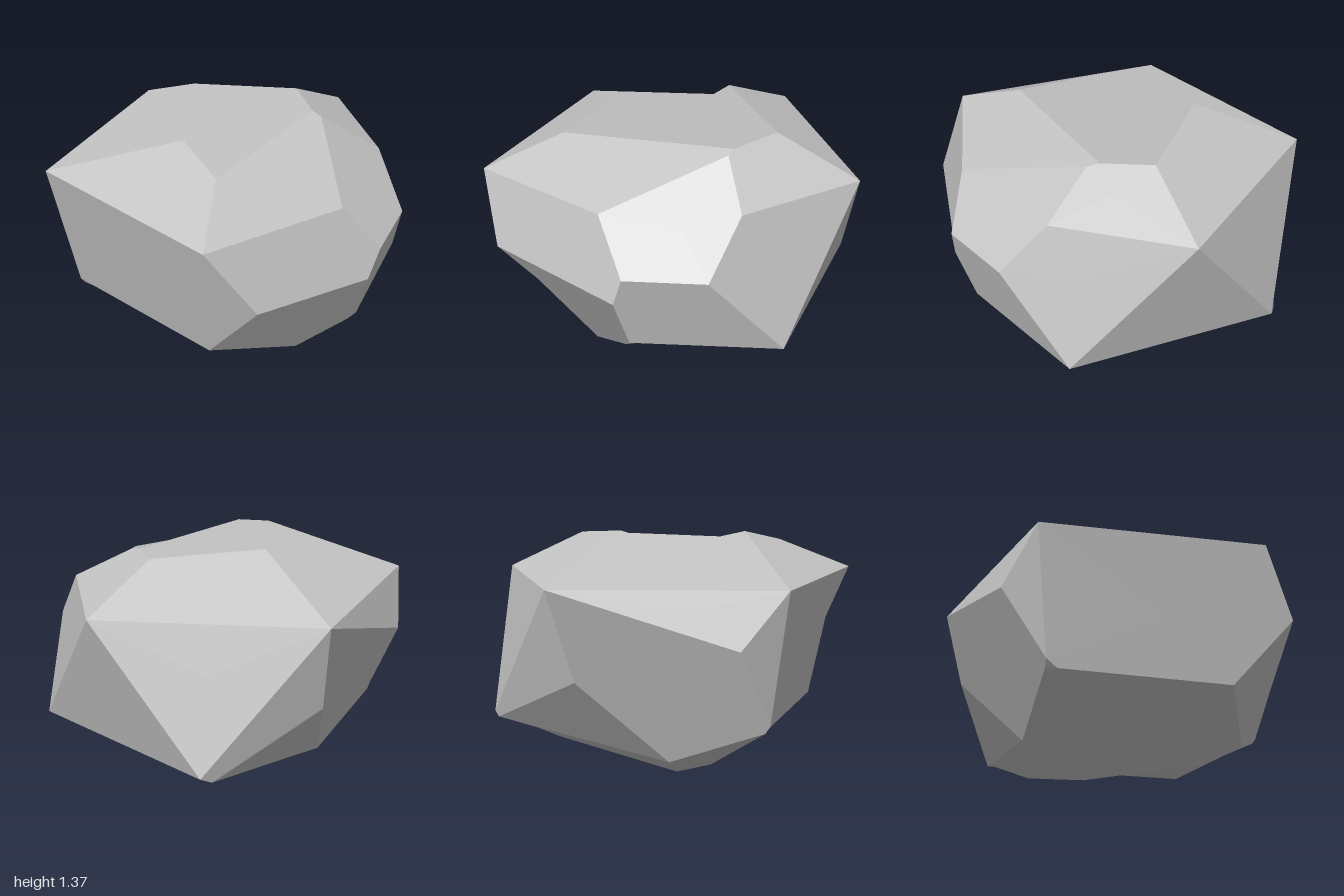
import * as THREE from 'three';

// Corners of the chipped boulder, in rings from top to bottom
const corners = {
  // crown
  t1: [-0.37, 1.365, -0.29], t2: [-0.12, 1.345, 0.37], t3: [0.16, 1.28, 0.58],
  t4: [0.16, 1.32, -0.56], t5: [0.40, 1.29, -0.31], t6: [0.34, 1.3, -0.34],
  // shoulder
  s1: [-0.85, 1.11, 0.57], s2: [0.28, 1.11, 1.0], s3: [0.74, 1.11, 0.32],
  s4: [0.72, 1.12, -0.39], s5: [0.28, 1.11, -1.0], s6: [-0.85, 1.11, -0.63],
  // waist
  w1: [0.92, 0.84, 0.19], w2: [0.92, 0.84, -0.24], w3: [0.88, 0.67, 0.24],
  w4: [0.52, 0.77, 0.9], w5: [-0.93, 0.82, 0.33], w6: [-0.78, 0.63, -0.5],
  // lower ring
  l1: [0.2, 0.365, 0.77], l2: [-0.67, 0.365, 0.48], l3: [-0.74, 0.4, 0.49],
  l4: [-0.73, 0.36, 0.465], l5: [-0.33, 0.37, -1.0], l6: [-0.38, 0.35, -0.97],
  l7: [0.79, 0.38, -0.63], l8: [0.81, 0.39, 0.17], l9: [0.77, 0.35, 0.19],
  // base
  b1: [0.54, 0.225, 0.38], b2: [0.36, 0.12, 0.25], b3: [-0.6, 0.165, -0.03],
  b4: [-0.25, 0.205, -0.66], b5: [-0.1, 0, 0.19], b6: [-0.24, 0, 0],
};

// Facets, each a loop of corners
const facets = [
  // top
  's6 t1 t4 s5', 's1 s6 t1 t4 t6 t3 t2', 's5 s4 t5 t6 t4', 's2 s3 t5 t6 t3', 's1 t2 t3 s2',
  // +x side and front
  's3 w1 w2 s4 t5', 's2 s3 w1 w3 w4', 'w4 w3 l8 l9 b1 l1', 's1 s2 w4 l1 l2 l3', 'w1 w2 l7 l8 w3',
  // back
  's5 s4 w2 l7', 's5 l7 l5', 's6 s5 l5', 's6 l5 l6 w6',
  // -x side
  's6 w6 b3 l4 l3 w5', 's1 w5 l3', 's1 s6 w5', 'w6 l6 b3', 'l2 l4 l3',
  // underside
  'l7 l8 l9 b1 b2', 'l7 b2 b5 b6 b4 l5', 'l1 b1 b2 b5 l4 l2', 'l4 b5 b6 b3', 'l5 l6 b3 b6 b4',
];

// Closes every loop with a fan around its middle and gives it one flat normal
function facetedGeometry() {
  const positions = [];
  const normals = [];
  const core = new THREE.Vector3(0, 0.7, 0);
  for (const facet of facets) {
    let loop = facet.split(' ').map((name) => new THREE.Vector3(...corners[name]));
    const middle = loop.reduce((sum, p) => sum.add(p), new THREE.Vector3())
      .divideScalar(loop.length);
    const normal = new THREE.Vector3();
    loop.forEach((p, i) => {
      const q = loop[(i + 1) % loop.length];
      normal.add(p.clone().sub(middle).cross(q.clone().sub(middle)));
    });
    normal.normalize();
    // Turn loops that run the wrong way so that all faces look outward
    if (normal.dot(middle.clone().sub(core)) < 0) {
      normal.negate();
      loop = loop.reverse();
    }
    loop.forEach((p, i) => {
      for (const v of [middle, p, loop[(i + 1) % loop.length]]) {
        positions.push(v.x, v.y, v.z);
        normals.push(normal.x, normal.y, normal.z);
      }
    });
  }
  const geometry = new THREE.BufferGeometry();
  geometry.setAttribute('position', new THREE.Float32BufferAttribute(positions, 3));
  geometry.setAttribute('normal', new THREE.Float32BufferAttribute(normals, 3));
  return geometry;
}

export function createModel() {
  const group = new THREE.Group();
  group.name = 'rock';

  const stone = new THREE.MeshStandardMaterial({ color: 0xc5c5c5 });
  stone.name = 'stone grey';

  const boulder = new THREE.Mesh(facetedGeometry(), stone);
  boulder.name = 'boulder';
  group.add(boulder);
  return group;
}
